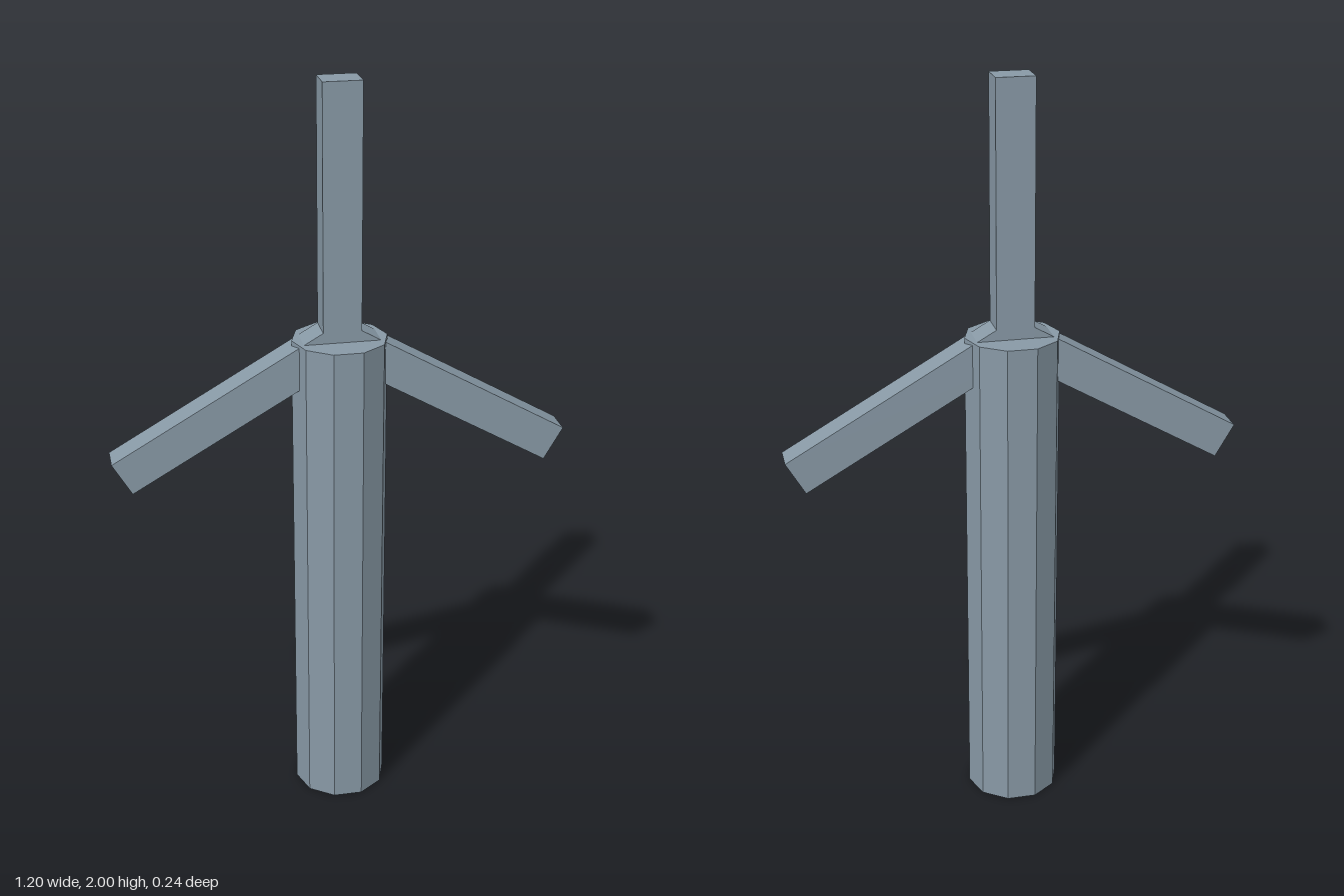
import * as THREE from 'three';

const HUB_Y = 1.336;
const BLADE_LENGTH = 0.664;

export function createModel() {
  const group = new THREE.Group();
  group.name = 'windTurbine';
  const greyBlue = new THREE.MeshStandardMaterial({ color: 0x8899a6, flatShading: true });
  greyBlue.name = 'greyBlue';

  // Ten-sided tower with corners on the x axis
  const towerGeometry = new THREE.CylinderGeometry(0.125, 0.125, HUB_Y, 10);
  towerGeometry.rotateY(Math.PI / 10);
  const tower = new THREE.Mesh(towerGeometry, greyBlue);
  tower.name = 'tower';
  tower.position.y = HUB_Y / 2;
  group.add(tower);

  // Three blades radiating from the tower top, a third of a turn apart
  const bladeGeometry = new THREE.BoxGeometry(0.1, BLADE_LENGTH, 0.08);
  bladeGeometry.translate(0, BLADE_LENGTH / 2, 0);
  ['topBlade', 'rightBlade', 'leftBlade'].forEach((name, i) => {
    const blade = new THREE.Mesh(bladeGeometry, greyBlue);
    blade.name = name;
    blade.position.y = HUB_Y;
    blade.rotation.z = (i * 2 * Math.PI) / 3;
    group.add(blade);
  });

  return group;
}
